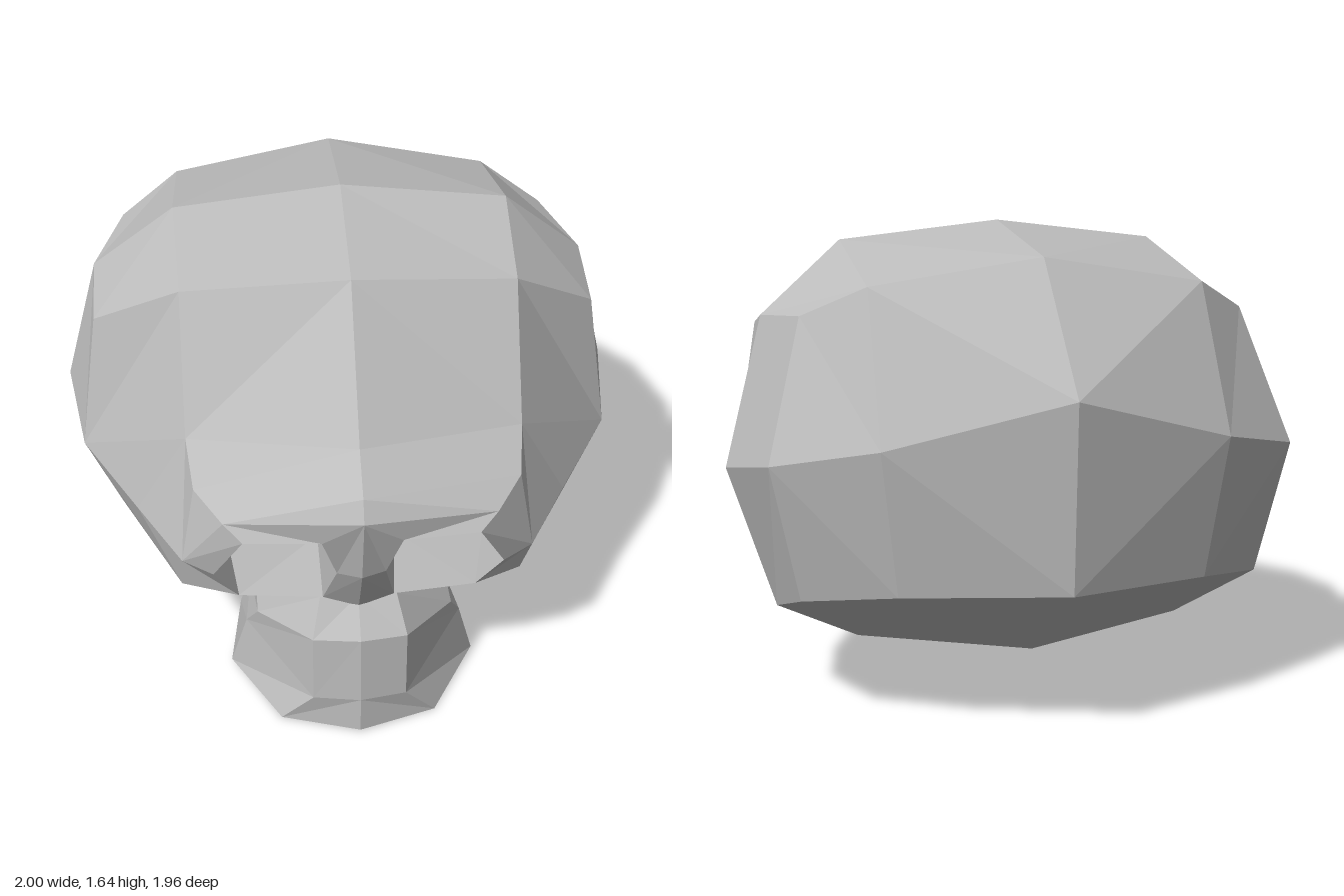
import * as THREE from 'three';

const bone = new THREE.MeshStandardMaterial({ color: 0xbcbcbc });
bone.name = 'grey bone';

// Stitch pairs of equally long point chains into facets, mirrored across x = 0
function mirroredStrips(name, pairs) {
  const pos = [];
  const v = (p) => new THREE.Vector3(...p);
  const tri = (a, b, c) => {
    const area = v(b).sub(v(a)).cross(v(c).sub(v(a))).length();
    if (area < 1e-6) return; // repeated points taper a strip
    pos.push(...a, ...b, ...c);
    for (const p of [a, c, b]) pos.push(-p[0], p[1], p[2]);
  };
  for (const [a, b] of pairs) {
    for (let i = 0; i < a.length - 1; i++) {
      tri(a[i], b[i], a[i + 1]);
      tri(b[i], b[i + 1], a[i + 1]);
    }
  }
  const geo = new THREE.BufferGeometry();
  geo.setAttribute('position', new THREE.Float32BufferAttribute(pos, 3));
  geo.computeVertexNormals(); // unshared corners give flat facets
  const mesh = new THREE.Mesh(geo, bone);
  mesh.name = name;
  return mesh;
}

export function createModel() {
  const group = new THREE.Group();
  group.name = 'skull';

  // Midline section, from the brow over the crown to the base
  const mid = [
    [0, 0.97, 0.98], [0, 1.04, 0.94], [0, 1.13, 0.8], [0, 1.54, 0.45],
    [0, 1.645, -0.01], [0, 1.54, -0.6], [0, 1.12, -0.98], [0, 0.5, -0.95],
    [0, 0.19, -0.48], [0, 0.14, -0.05], [0, 0.14, 0.24],
  ];
  // Parallel section further out
  const outer = [
    [0.44, 0.92, 0.88], [0.53, 0.97, 0.76], [0.55, 1.07, 0.62], [0.55, 1.48, 0.38],
    [0.57, 1.58, -0.01], [0.57, 1.45, -0.55], [0.58, 0.96, -0.8], [0.52, 0.48, -0.75],
    [0.58, 0.24, -0.33], [0.4, 0.14, -0.05], [0.36, 0.14, 0.24],
  ];
  // Side rings: upper, widest and lower, front to back
  const upper = [[0.85, 1.28, 0.2], [0.86, 1.33, -0.09], [0.77, 1.35, -0.41]];
  const wide = [
    [0.58, 0.7, 0.79], [0.73, 0.73, 0.54], [0.92, 0.81, 0.26],
    [1, 0.82, -0.18], [0.9, 0.89, -0.58],
  ];
  const cheek = [0.4, 0.52, 0.77];
  const lower = [
    cheek, [0.6, 0.39, 0.55], [0.82, 0.39, 0.08],
    [0.84, 0.33, -0.2], [0.8, 0.43, -0.53],
  ];
  const outerSplit = [...outer.slice(0, 3), ...outer.slice(2)];
  const sideLoop = [
    wide[0], wide[0], wide[1], wide[2], ...upper, wide[4],
    lower[4], lower[3], lower[2], lower[1],
  ];

  // Nose ridge and eye rim
  const noseBridge = [0, 0.71, 0.93];
  const noseTip = [0, 0.49, 0.82];
  const noseFoot = [0.12, 0.52, 0.8];
  const rim = [
    cheek, [0.48, 0.67, 0.83], [0.38, 0.87, 0.92],
    [0.13, 0.87, 0.94], [0.08, 0.71, 0.9], noseFoot,
  ];
  const faceEdge = [cheek, wide[0], outer[0], mid[0], noseBridge, noseTip];

  group.add(mirroredStrips('cranium', [
    [mid, outer],
    [outerSplit, sideLoop],
    [upper, wide.slice(2)],
    [wide, lower],
    [[noseTip, noseFoot, cheek, lower[1]], [mid[10], outer[10], outer[10], outer[10]]],
  ]));
  group.add(mirroredStrips('face', [[rim, faceEdge]]));

  // Recessed eye sockets
  const socket = [
    cheek, [0.43, 0.68, 0.68], [0.35, 0.83, 0.75],
    [0.14, 0.83, 0.75], [0.13, 0.69, 0.68], noseFoot,
  ];
  group.add(mirroredStrips('eyeSockets', [
    [socket, rim],
    [[socket[5], socket[4], socket[3]], socket.slice(0, 3)],
  ]));

  // Jaw columns, each top to bottom, from the chin round to the back
  const jaw = [
    [[0, 0.52, 0.8], [0, 0.41, 0.91], [0, 0.15, 0.925], [0, 0.01, 0.93]],
    [[0.13, 0.52, 0.8], [0.16, 0.4, 0.88], [0.16, 0.14, 0.89], [0.27, 0, 0.84]],
    [[0.13, 0.52, 0.8], [0.34, 0.34, 0.66], [0.38, 0.25, 0.6], [0.44, 0.02, 0.56]],
    [[0.13, 0.52, 0.8], [0.34, 0.33, 0.52], [0.36, 0.14, 0.24], [0.4, 0.07, 0.3]],
    [[0, 0.52, 0.8], [0, 0.33, 0.52], [0, 0.14, 0.24], [0, 0.07, 0.3]],
  ];
  const jawStrips = jaw.slice(1).map((col, i) => [col, jaw[i]]);
  const base = jaw.map((col) => col[3]);
  jawStrips.push([base.slice(0, 4), [base[0], base[4], base[4], base[4]]]);
  group.add(mirroredStrips('jaw', jawStrips));

  return group;
}
